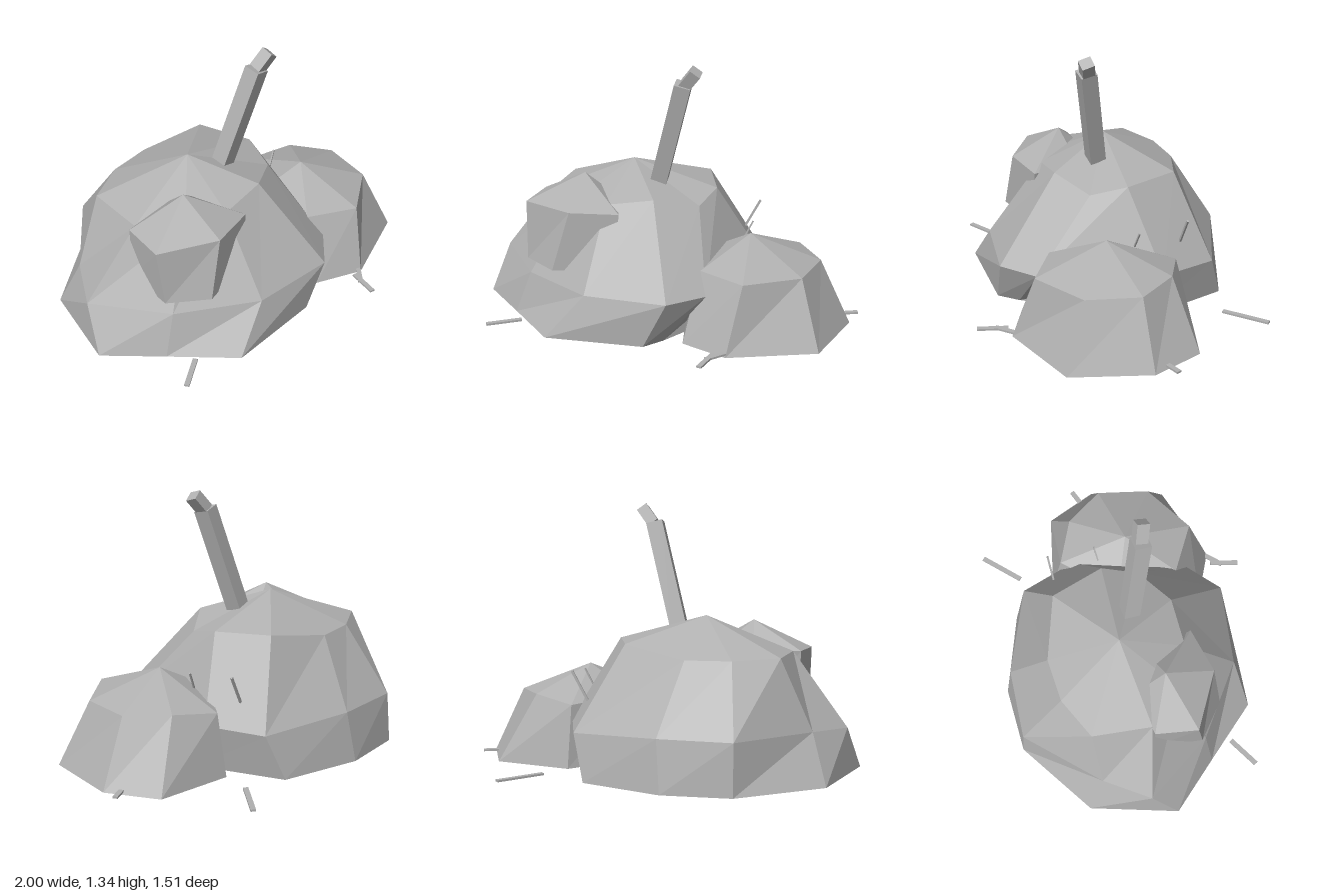
import * as THREE from 'three';

const stone = new THREE.MeshStandardMaterial({ color: 0xb0b0b0, flatShading: true, side: THREE.DoubleSide });
stone.name = 'stone grey';

// Faceted dome: rings run from the base upward, closed by an apex and a flat base
function dome(name, rings, apex) {
  const pos = [];
  const tri = (a, b, c) => pos.push(...a, ...b, ...c);
  const n = rings[0].length;
  const centre = [apex[0], rings[0][0][1], apex[2]];
  for (let i = 0; i < n; i++) {
    const j = (i + 1) % n;
    tri(centre, rings[0][j], rings[0][i]);
    for (let r = 0; r < rings.length - 1; r++) {
      const lo = rings[r], hi = rings[r + 1];
      tri(lo[i], lo[j], hi[j]);
      tri(lo[i], hi[j], hi[i]);
    }
    const top = rings[rings.length - 1];
    tri(top[i], top[j], apex);
  }
  const g = new THREE.BufferGeometry();
  g.setAttribute('position', new THREE.Float32BufferAttribute(pos, 3));
  g.computeVertexNormals();
  const m = new THREE.Mesh(g, stone);
  m.name = name;
  return m;
}

// Box stretched between two points
function bar(name, from, to, width, depth) {
  const a = new THREE.Vector3(...from), b = new THREE.Vector3(...to);
  const m = new THREE.Mesh(new THREE.BoxGeometry(width, a.distanceTo(b), depth), stone);
  m.position.copy(a).lerp(b, 0.5);
  m.quaternion.setFromUnitVectors(new THREE.Vector3(0, 1, 0), b.clone().sub(a).normalize());
  m.name = name;
  return m;
}

export function createModel() {
  const group = new THREE.Group();
  group.name = 'rockMound';

  // Large boulder
  group.add(dome('largeBoulder', [
    [[-0.05, 0, 0.54], [0.04, 0, 0.45], [0.45, 0, -0.1], [0.35, 0, -0.57], [-0.05, 0, -0.745],
      [-0.4, 0, -0.76], [-0.83, 0, -0.51], [-1, 0, -0.06], [-0.79, 0, 0.21], [-0.56, 0, 0.51]],
    [[0.07, 0.24, 0.56], [0.25, 0.24, 0.42], [0.48, 0.24, -0.18], [0.41, 0.23, -0.49], [-0.03, 0.26, -0.7],
      [-0.4, 0.26, -0.74], [-0.76, 0.25, -0.41], [-0.93, 0.23, -0.19], [-0.71, 0.22, 0.19], [-0.36, 0.23, 0.48]],
    [[-0.05, 0.66, 0.21], [0.17, 0.605, 0.1], [0.24, 0.65, -0.08], [0.17, 0.66, -0.37], [-0.14, 0.605, -0.5],
      [-0.37, 0.605, -0.5], [-0.6, 0.61, -0.41], [-0.65, 0.6, -0.1], [-0.5, 0.6, 0.1], [-0.3, 0.62, 0.2]],
  ], [-0.21, 0.78, -0.13]));

  // Small boulder leaning on the left
  group.add(dome('smallBoulder', [
    [[0.37, 0, 0.6], [0.82, 0, 0.48], [0.96, 0, 0.08], [0.87, 0, -0.2], [0.48, 0, -0.31], [0.1, 0, 0], [0.14, 0, 0.47]],
    [[0.44, 0.345, 0.5], [0.72, 0.34, 0.35], [0.8, 0.34, 0.08], [0.68, 0.35, -0.13], [0.47, 0.32, -0.25],
      [0.2, 0.34, 0], [0.21, 0.345, 0.34]],
  ], [0.44, 0.48, 0.12]));

  // Overhanging lump on the front right
  group.add(dome('rockLump', [
    [[-0.56, 0.29, 0.32], [-0.25, 0.29, 0.27], [-0.25, 0.29, 0], [-0.45, 0.29, -0.1], [-0.68, 0.29, -0.1], [-0.73, 0.29, 0.16]],
    [[-0.47, 0.6, 0.3], [-0.22, 0.59, 0.26], [-0.27, 0.6, 0], [-0.45, 0.6, -0.12], [-0.69, 0.6, -0.1], [-0.74, 0.59, 0.12]],
  ], [-0.44, 0.74, 0.04]));

  // Leaning post with a chipped tip
  group.add(bar('post', [-0.06, 0.69, -0.025], [0.083, 1.237, 0.083], 0.085, 0.085));
  group.add(bar('postTip', [0.09, 1.23, 0.08], [0.152, 1.31, 0.11], 0.06, 0.065));

  // Flat twigs on the ground
  const twigs = [
    [0.57, -0.48, 0.76, -0.645], [-0.89, 0.43, -0.725, 0.345],
    [0.26, 0.75, 0.31, 0.6], [0.28, 0.66, 0.37, 0.58], [0.92, 0, 1, -0.025],
  ];
  for (const [x1, z1, x2, z2] of twigs) {
    const twig = new THREE.Mesh(new THREE.BoxGeometry(Math.hypot(x2 - x1, z2 - z1), 0.01, 0.026), stone);
    twig.position.set((x1 + x2) / 2, 0.016, (z1 + z2) / 2);
    twig.rotation.y = -Math.atan2(z2 - z1, x2 - x1);
    twig.name = 'twig';
    group.add(twig);
  }

  // Thin shoots between the boulders
  group.add(bar('shoot', [0.37, 0.36, -0.32], [0.45, 0.51, -0.32], 0.012, 0.01));
  group.add(bar('shoot', [0.39, 0.39, -0.055], [0.435, 0.48, -0.062], 0.008, 0.008));
  return group;
}
